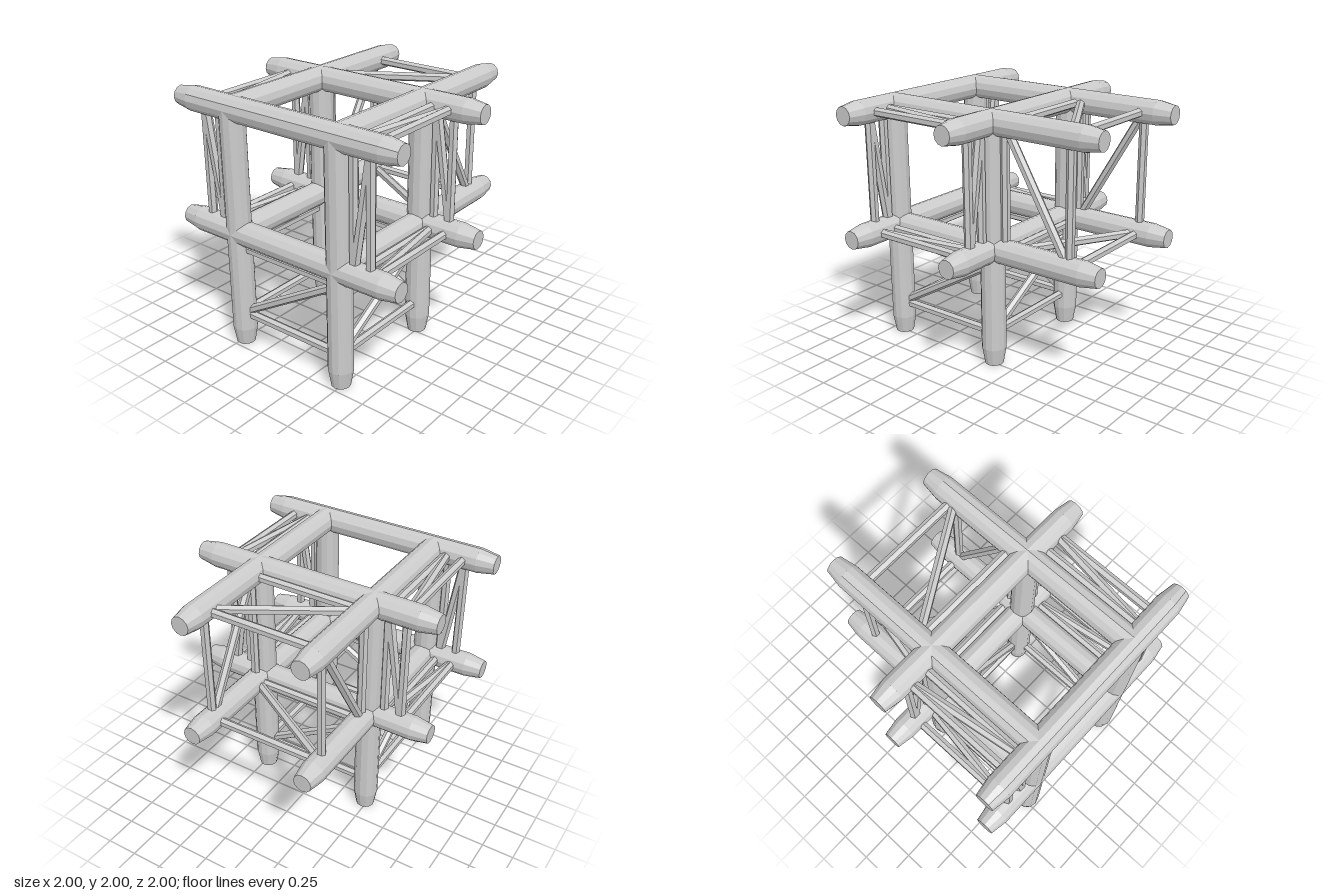
import * as THREE from 'three';

const X = 0.48;               // leg and rail spacing
const LOW = 0.9435, TOP = 1.9035;   // heights of the two rail levels
const FRONT = 0.9035, BACK = -0.0565;
const R = 0.0965, TIP = 0.073, TAPER = 0.138;

export function createModel() {
  const model = new THREE.Group();
  model.name = 'tubularFrame';
  const material = new THREE.MeshStandardMaterial({ color: 0xcccccc, flatShading: true });

  // Place a y-aligned geometry so it runs from a towards b, a corner turned up (or sideways on uprights)
  function place(geometry, a, b, name, parent) {
    const dir = b.clone().sub(a).normalize();
    const corner = Math.abs(dir.y) > 0.99 ? new THREE.Vector3(1, 0, 0) : new THREE.Vector3(0, 1, 0);
    corner.addScaledVector(dir, -corner.dot(dir)).normalize();
    const side = new THREE.Vector3().crossVectors(dir, corner);
    const mesh = new THREE.Mesh(geometry, material);
    mesh.quaternion.setFromRotationMatrix(new THREE.Matrix4().makeBasis(side, dir, corner));
    mesh.position.copy(a);
    mesh.name = name;
    parent.add(mesh);
  }

  // Twelve-sided tube with a tapered tip at the start, optionally at the end too
  function tube(a, b, bothTips, name) {
    const start = new THREE.Vector3(...a), end = new THREE.Vector3(...b);
    const len = start.distanceTo(end);
    const profile = [[0, 0], [TIP, 0], [R, TAPER]];
    if (bothTips) profile.push([R, len - TAPER], [TIP, len], [0, len]);
    else profile.push([R, len], [0, len]);
    const geometry = new THREE.LatheGeometry(profile.map(p => new THREE.Vector2(...p)), 12);
    place(geometry, start, end, name, model);
  }

  // Thin six-sided bar
  function bar(a, b, name, parent) {
    const start = new THREE.Vector3(...a), end = new THREE.Vector3(...b);
    const len = start.distanceTo(end);
    const geometry = new THREE.CylinderGeometry(0.035, 0.035, len, 6).translate(0, len / 2, 0);
    place(geometry, start, end, name, parent);
  }

  // Bracing around four parallel tubes: two rings of bars and one diagonal per side
  function bracing(corners, p1, p2, at, name) {
    const group = new THREE.Group();
    group.name = name;
    corners.forEach((c, i) => {
      const n = corners[(i + 1) % 4];
      bar(at(c, p1), at(n, p1), 'crossBar', group);
      bar(at(c, p2), at(n, p2), 'crossBar', group);
      bar(at(c, p1), at(n, p2), 'diagonalBrace', group);
    });
    model.add(group);
  }

  // Main tubes
  for (const z of [FRONT, BACK]) {
    for (const x of [-X, X]) tube([x, 0, z], [x, TOP, z], false, 'leg');
    for (const y of [LOW, TOP]) tube([-1, y, z], [1, y, z], true, 'crossRail');
  }
  for (const x of [-X, X])
    for (const y of [LOW, TOP]) tube([x, y, -1], [x, y, FRONT], false, 'sideRail');

  // Bracing between the legs
  bracing([[-X, FRONT], [X, FRONT], [X, BACK], [-X, BACK]], 0.257, 0.82,
    ([x, z], p) => [x, p, z], 'legBracing');

  // Bracing between the rear ends of the side rails
  bracing([[-X, TOP], [X, TOP], [X, LOW], [-X, LOW]], -0.18, -0.745,
    ([x, y], p) => [x, y, p], 'rearBracing');

  // Mirrored bracing between the outer ends of the cross rails
  for (const s of [-1, 1])
    bracing([[LOW, FRONT], [TOP, FRONT], [TOP, BACK], [LOW, BACK]], 0.608, 0.75,
      ([y, z], p) => [s * p, y, z], s > 0 ? 'leftBracing' : 'rightBracing');

  return model;
}
